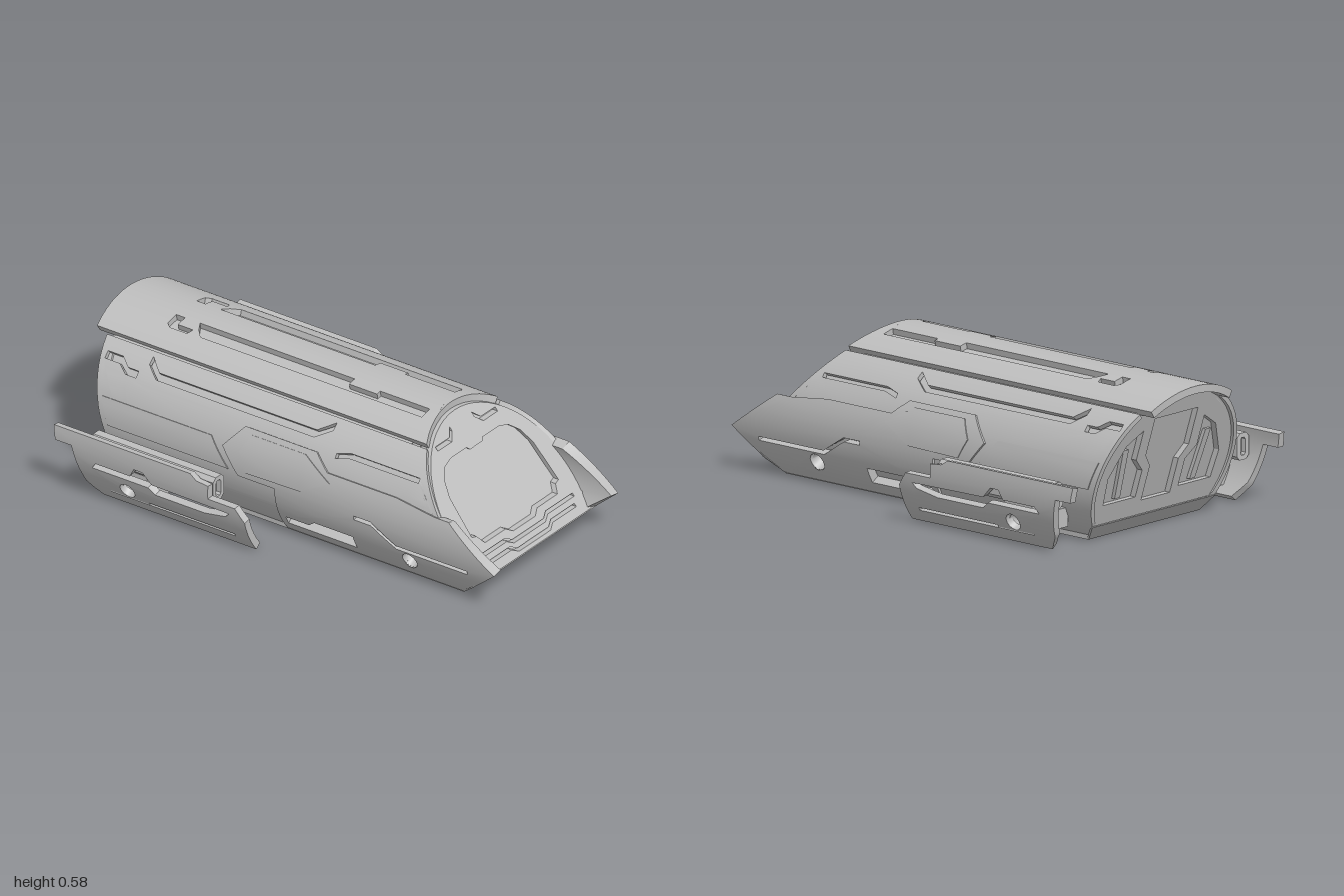
import * as THREE from 'three';
import { toCreasedNormals } from 'three/addons/utils/BufferGeometryUtils.js';

const grey = new THREE.MeshStandardMaterial({ color: 0xbebebe, side: THREE.DoubleSide });
grey.name = 'hull grey';

const CY = 0.225, HULL = [0.4, 0.355], POD = [0.597, 0.437];
const V = (pts) => pts.map(([x, y]) => new THREE.Vector2(x, y));
const circle = (x, y, r) => Array.from({ length: 24 }, (_, i) =>
  [x + r * Math.cos(i * Math.PI / 12), y + r * Math.sin(i * Math.PI / 12)]);
// slit of constant height along a path
const slit = (pts, w) => [...pts, ...pts.slice().reverse().map(([x, y]) => [x, y + w])];
const mirrorY = (pts) => pts.map(([x, y]) => [x, -y]).reverse();
const mirrorX = (pts) => pts.map(([x, y]) => [-x, y]).reverse();

function plate(outline, holes, depth) {
  const shape = new THREE.Shape(V(outline));
  for (const h of holes) shape.holes.push(new THREE.Path(V(h)));
  return new THREE.ExtrudeGeometry(shape, { depth, bevelEnabled: false });
}

// split triangles along v so that a plate can be bent, then move every vertex by a rule
function remap(geo, rule, step = Infinity) {
  const g = geo.index ? geo.toNonIndexed() : geo, p = g.attributes.position, out = [];
  const split = (a, b, c) => {
    const d = [Math.abs(a[1] - b[1]), Math.abs(b[1] - c[1]), Math.abs(c[1] - a[1])];
    const m = Math.max(...d);
    if (m <= step) { for (const q of [a, b, c]) out.push(...rule(...q)); return; }
    const k = d.indexOf(m), t = [a, b, c];
    const A = t[k], B = t[(k + 1) % 3], C = t[(k + 2) % 3];
    const M = A.map((v, i) => (v + B[i]) / 2);
    split(A, M, C); split(M, B, C);
  };
  const at = (i) => [p.getX(i), p.getY(i), p.getZ(i)];
  for (let i = 0; i < p.count; i += 3) split(at(i), at(i + 1), at(i + 2));
  const res = new THREE.BufferGeometry();
  res.setAttribute('position', new THREE.Float32BufferAttribute(out, 3));
  return toCreasedNormals(res, 0.5);
}

// side plate: drawn in (x, y), wrapped on the elliptical barrel
function sidePlate(outline, holes, depth, offset, [a, b] = HULL) {
  return remap(plate(outline, holes, depth), (x, y, w) => {
    const s = (y - CY) / b, c = Math.sqrt(1 - s * s), n = Math.hypot(b * c, a * s), o = offset + w;
    return [x, y + o * a * s / n, a * c + o * b * c / n];
  }, 0.03);
}
// top plate: drawn in (x, -z), wrapped over the barrel
function topPlate(outline, holes, depth, offset) {
  const [a, b] = HULL;
  return remap(plate(outline, holes, depth), (x, v, w) => {
    const c = -v / a, s = Math.sqrt(1 - c * c), n = Math.hypot(b * c, a * s), o = offset + w;
    return [x, CY + b * s + o * a * s / n, -v + o * b * c / n];
  }, 0.03);
}
// end plate: drawn in (z, y), facing +x or -x, leaning by xOf(y)
const endPlate = (outline, holes, depth, xOf, dir = 1) =>
  remap(plate(outline, holes, depth), (u, y, w) => [xOf(y) + dir * (w - depth), y, -dir * u]);
// belly plate: drawn in (x, z), facing down
const bellyPlate = (outline, holes, depth, bottom) =>
  remap(plate(outline, holes, depth), (x, z, w) => [x, bottom + depth - w, z]);

const add = (parent, name, geo) => {
  const m = new THREE.Mesh(geo, grey);
  m.name = name;
  parent.add(m);
  return m;
};
const box = (parent, name, x0, x1, y0, y1, z0, z1) =>
  add(parent, name, new THREE.BoxGeometry(x1 - x0, y1 - y0, z1 - z0))
    .position.set((x0 + x1) / 2, (y0 + y1) / 2, (z0 + z1) / 2);

const noseX = (y) => 0.5 + 0.85 * (0.58 - y);
const tailX = (y) => -0.79 - (y - 0.06) * 0.318;
// barrel cross-section above y0, shrunk by inset
function archOutline(inset, y0) {
  const a = HULL[0] - inset, b = HULL[1] - inset, t0 = Math.asin((y0 - CY) / b);
  return Array.from({ length: 41 }, (_, i) => {
    const t = t0 + (Math.PI - 2 * t0) * i / 40;
    return [a * Math.cos(t), CY + b * Math.sin(t)];
  });
}

function buildSide() {
  const side = new THREE.Group();
  const ports = [circle(-0.59, 0.09, 0.033), circle(0.58, 0.09, 0.033)];
  const lowSlit = slit([[0.34, 0.2], [0.42, 0.2], [0.53, 0.13], [0.86, 0.13]], 0.016);
  const pocket = [[0, 0.05], [0.32, 0.05], [0.32, 0.11], [0.14, 0.11], [0.11, 0.085], [0, 0.085]];
  const skin = [[-0.74, 0], [0.79, 0], [0.908, 0.1], [noseX(0.51), 0.51], [-0.93, 0.51], [-0.79, 0.06]];
  add(side, 'sideSkin', sidePlate(skin, [
    ...ports, lowSlit, pocket,
    slit([[-0.7, 0.475], [-0.645, 0.44], [0.09, 0.44], [0.155, 0.475]], 0.022),
    slit([[0.21, 0.4], [0.27, 0.415], [0.59, 0.415]], 0.016),
    slit([[-0.89, 0.45], [-0.82, 0.45], [-0.78, 0.425], [-0.73, 0.425]], 0.022),
  ], 0.02, -0.03));
  add(side, 'sideLiner', sidePlate(skin.map(([x, y]) => [x * 0.98, y]), ports, 0.004, -0.04));
  // raised cheek running forward into a point beside the nose
  add(side, 'cheek', sidePlate([
    [-0.03, 0], [0.79, 0], [0.99, 0.17], [0.77, 0.325], [0.7, 0.325], [0.52, 0.345], [0.2, 0.345],
    [0.13, 0.4], [-0.2, 0.4], [-0.28, 0.31], [-0.2, 0.21], [-0.03, 0.21],
  ], [ports[1], lowSlit, pocket], 0.045, -0.045));
  add(side, 'hexPanel', sidePlate(
    [[-0.2, 0.31], [-0.16, 0.235], [0.09, 0.24], [0.22, 0.31], [0.09, 0.38], [-0.16, 0.38]], [], 0.004, 0));
  add(side, 'rearSidePanel', sidePlate(
    [[-0.81, 0.22], [-0.25, 0.22], [-0.3, 0.28], [-0.34, 0.33], [-0.85, 0.33]], [], 0.004, -0.01));

  // outrigger pod
  const pod = new THREE.Group();
  pod.name = 'outrigger';
  side.add(pod);
  add(pod, 'podShell', sidePlate([
    [-0.74, 0], [-0.03, 0], [-0.03, 0.145], [-0.07, 0.2], [-0.195, 0.2], [-0.195, 0.255],
    [-0.25, 0.26], [-0.28, 0.28], [-0.915, 0.28], [-0.905, 0.22], [-0.83, 0.22], [-0.79, 0.06],
  ], [
    ports[0],
    [[-0.74, 0.15], [-0.48, 0.15], [-0.45, 0.125], [-0.22, 0.125], [-0.12, 0.145], [-0.1, 0.165],
      [-0.46, 0.17], [-0.5, 0.212], [-0.54, 0.212], [-0.56, 0.175], [-0.72, 0.175]],
    slit([[-0.5, 0.05], [-0.1, 0.05]], 0.012),
  ], 0.03, -0.03, POD));
  const rounded = (w, h, c) => [[w - c, -h], [w, c - h], [w, h - c], [w - c, h], [c - w, h], [-w, h - c], [-w, c - h], [c - w, -h]]
    .map(([x, y]) => [x - 0.521, y + 0.212]);
  add(pod, 'rail', endPlate(rounded(0.034, 0.052, 0.016), [rounded(0.015, 0.034, 0.008)], 0.57, () => -0.2));
  box(pod, 'railCore', -0.75, -0.22, 0.175, 0.25, 0.503, 0.54);
  box(pod, 'railBracket', -0.66, -0.52, 0.12, 0.165, 0.5, 0.54);
  box(pod, 'railMount', -0.7, -0.3, 0.22, 0.25, 0.55, 0.575);
  const strut = plate([[-0.68, 0.05], [-0.5, 0.05], [-0.5, 0.125], [-0.68, 0.125]], [ports[0]], 0.19);
  add(pod, 'strut', strut).position.z = 0.36;
  return side;
}

export function createModel() {
  const model = new THREE.Group();
  model.name = 'spacecraft';
  const left = buildSide(), right = buildSide();
  left.name = 'leftSide';
  right.name = 'rightSide';
  right.scale.z = -1;
  model.add(left, right);

  // spine plate along the top
  const yTop = (z) => CY + HULL[1] * Math.sqrt(1 - (z / HULL[0]) ** 2);
  const edge = Array.from({ length: 13 }, (_, i) => -0.226 + 0.452 * i / 12);
  const spine = [...edge.map((v) => [noseX(yTop(v)), v]),
    ...edge.slice().reverse().map((v) => [-1 + 0.3 * (0.58 - yTop(v)), v])];
  const groove = [[-0.62, 0.065], [0.1, 0.065], [0.1, 0.1], [0.23, 0.1], [0.23, 0.08], [0.46, 0.08], [0.46, 0.13], [-0.57, 0.13], [-0.6, 0.1]];
  const hook = [[-0.7, 0.065], [-0.66, 0.065], [-0.66, 0.11], [-0.59, 0.11], [-0.6, 0.135], [-0.68, 0.135], [-0.7, 0.12]];
  hook.forEach((q) => { q[0] -= 0.03; });
  add(model, 'spine', topPlate(spine, [groove, mirrorY(groove), hook, mirrorY(hook)], 0.03, -0.03));
  add(model, 'spineLiner', topPlate([[-0.9, -0.25], [0.48, -0.25], [0.48, 0.25], [-0.9, 0.25]], [], 0.006, -0.03));

  // nose face with recessed window and trim slits
  const half = [[0, 0.17], [0.07, 0.17], [0.1, 0.187], [0.23, 0.187], [0.25, 0.215], [0.275, 0.22],
    [0.265, 0.35], [0.24, 0.4], [0.2, 0.432], [0.15, 0.443], [0.05, 0.443], [0.04, 0.433], [0, 0.433]];
  const windowHole = [...half, ...mirrorX(half.slice(1, -1))];
  const chin = (y, w) => slit([[-w, y + 0.015], [-0.13, y + 0.015], [-0.1, y], [0.1, y], [0.13, y + 0.015], [w, y + 0.015]], 0.011);
  const brow = slit([[0.07, 0.505], [0.1, 0.48], [0.19, 0.48]], 0.014);
  add(model, 'noseFace', endPlate(archOutline(0.028, 0.1),
    [windowHole, chin(0.14, 0.3), chin(0.112, 0.28), brow, mirrorX(brow)], 0.025, (y) => noseX(y) - 0.006));
  add(model, 'noseWindow', endPlate(archOutline(0.05, 0.1), [], 0.004, (y) => noseX(y) - 0.03));
  add(model, 'noseUnderside', endPlate(
    [[-0.31, 0], [0.31, 0], [0.36, 0.06], [0.372, 0.1], [-0.372, 0.1], [-0.36, 0.06]], [], 0.01, (y) => 0.79 + 1.18 * y));

  // tail face with three recessed bays
  const bay = [[0.12, 0.14], [0.3, 0.14], [0.31, 0.25], [0.25, 0.37], [0.17, 0.42], [0.17, 0.3], [0.12, 0.25]];
  const midBay = [[-0.08, 0.12], [0.08, 0.12], [0.08, 0.26], [0.12, 0.31], [0.12, 0.46], [-0.12, 0.46], [-0.12, 0.31], [-0.08, 0.26]];
  add(model, 'tailFace', endPlate(archOutline(0.028, 0.06), [bay, mirrorX(bay), midBay], 0.025, (y) => tailX(y) + 0.012, -1));
  add(model, 'tailBays', endPlate(archOutline(0.05, 0.06), [], 0.004, (y) => tailX(y) + 0.04, -1));
  for (const s of [-1, 1]) add(model, 'tailRib', endPlate(
    [[s * 0.21 - 0.015, 0.15], [s * 0.21 + 0.015, 0.15], [s * 0.23 + 0.015, 0.35], [s * 0.23 - 0.015, 0.35]],
    [], 0.015, (y) => tailX(y) + 0.025, -1));
  add(model, 'tailUnderside', endPlate(
    [[-0.31, 0], [0.31, 0], [0.345, 0.06], [-0.345, 0.06]], [], 0.01, (y) => -0.74 - 0.83 * y, -1));

  // belly with stepped channels and rows of vents
  const channels = [
    slit([[-0.6, 0.2], [-0.3, 0.2], [-0.25, 0.24], [0.15, 0.24], [0.2, 0.2], [0.62, 0.2]], 0.022),
    slit([[-0.65, 0.05], [-0.4, 0.05], [-0.36, 0.02], [0.1, 0.02], [0.14, 0.05], [0.55, 0.05]], 0.018),
  ];
  for (let i = 0; i < 9; i++) {
    const x = -0.2 + i * 0.042;
    channels.push([[x, 0.1], [x + 0.022, 0.1], [x + 0.037, 0.16], [x + 0.015, 0.16]]);
  }
  add(model, 'belly', bellyPlate([[-0.74, -0.312], [0.79, -0.312], [0.79, 0.312], [-0.74, 0.312]],
    [...channels, ...channels.map(mirrorY)], 0.02, 0));
  box(model, 'bellyLiner', -0.73, 0.78, 0.02, 0.026, -0.31, 0.31);

  // open tubes through the hull
  for (const x of [-0.59, 0.58]) {
    const tube = add(model, 'crossTube', new THREE.CylinderGeometry(0.0335, 0.0335, 0.72, 24, 1, true));
    tube.rotation.x = Math.PI / 2;
    tube.position.set(x, 0.09, 0);
  }
  return model;
}
